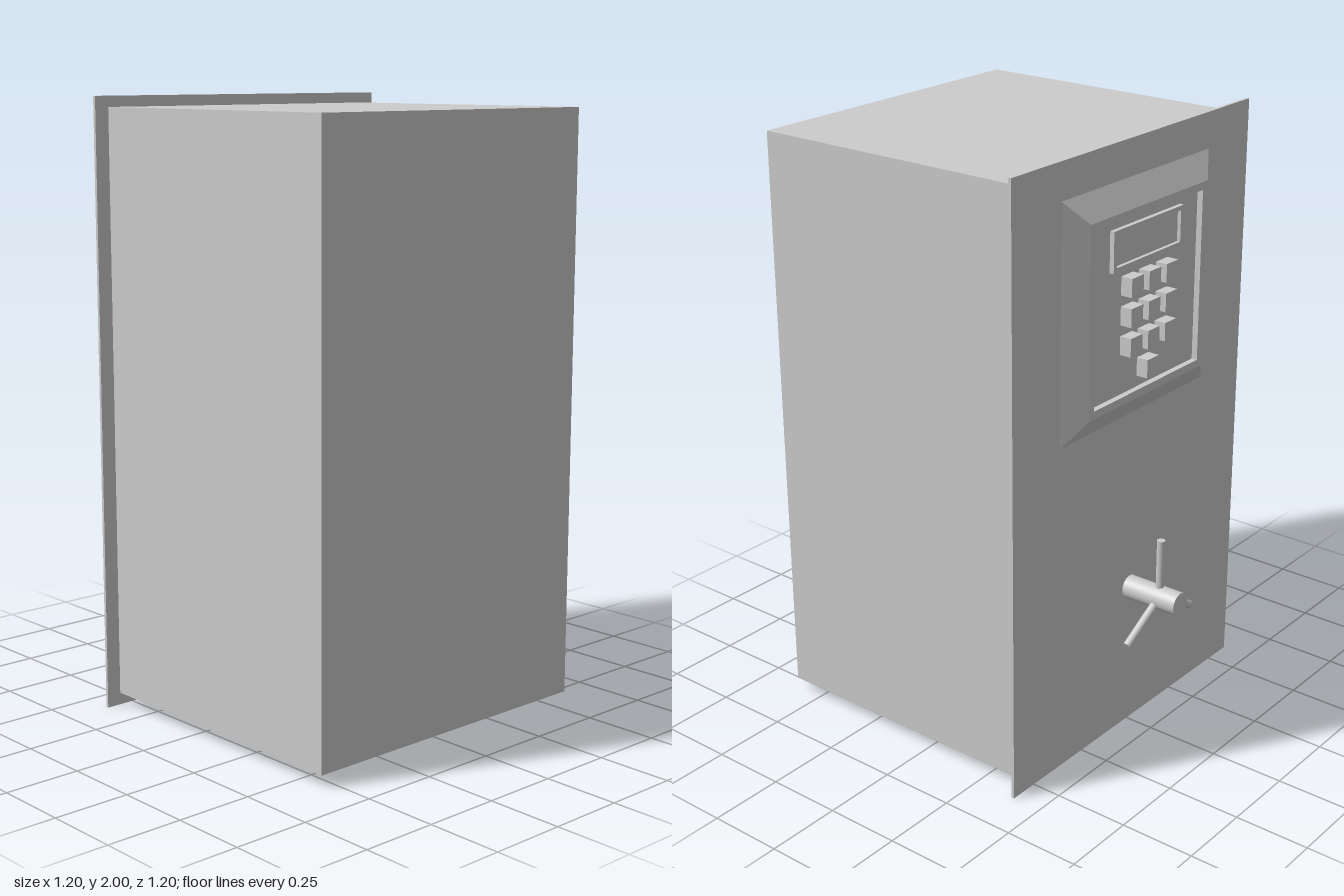
import * as THREE from 'three';

const material = new THREE.MeshStandardMaterial({ color: 0xcccccc });

function add(parent, name, geometry, x = 0, y = 0, z = 0) {
  const mesh = new THREE.Mesh(geometry, material);
  mesh.name = name;
  mesh.position.set(x, y, z);
  parent.add(mesh);
  return mesh;
}

// Flat-faced rectangular loft facing -z; each step is [half width, height off the door]
function squareLoft(steps, stretchX, stretchY) {
  const points = steps.map(([half, h]) => new THREE.Vector2(half * Math.SQRT2, h));
  const lathe = new THREE.LatheGeometry(points, 4, Math.PI / 4);
  lathe.rotateX(-Math.PI / 2).scale(stretchX, stretchY, 1);
  const flat = lathe.toNonIndexed();
  flat.computeVertexNormals();
  return flat;
}

export function createModel() {
  const safe = new THREE.Group();
  safe.name = 'safe';

  // Cabinet and the thin overhanging door at the back
  add(safe, 'cabinet', new THREE.BoxGeometry(1.1, 1.925, 0.99), 0, 1.0025, 0.105);
  add(safe, 'door', new THREE.BoxGeometry(1.2, 2, 0.01), 0, 1, -0.395);

  // Keypad housing: sloped sides, flat border, recessed panel
  const keypad = new THREE.Group();
  keypad.name = 'keypad';
  keypad.position.set(0, 1.5, -0.4);
  safe.add(keypad);
  add(keypad, 'housing', squareLoft(
    [[0.375, 0], [0.3, 0.05], [0.275, 0.05], [0.275, 0.03], [0, 0.03]], 1, 1.02));

  // Display: raised rim around a sunken screen
  const rim = new THREE.Shape();
  rim.moveTo(-0.18, -0.065).lineTo(0.18, -0.065).lineTo(0.18, 0.065).lineTo(-0.18, 0.065).closePath();
  const opening = new THREE.Path();
  opening.moveTo(-0.165, -0.05).lineTo(-0.165, 0.05).lineTo(0.165, 0.05).lineTo(0.165, -0.05).closePath();
  rim.holes.push(opening);
  add(keypad, 'displayRim', new THREE.ExtrudeGeometry(rim, { depth: 0.015, bevelEnabled: false }), 0, 0.19, -0.045);
  add(keypad, 'displayScreen', new THREE.BoxGeometry(0.33, 0.1, 0.005), 0, 0.19, -0.0305);

  // Three rows of three keys and a single key below
  const keyGeometry = new THREE.BoxGeometry(0.06, 0.06, 0.04);
  for (let row = 0; row < 4; row++) {
    for (const column of row < 3 ? [-1, 0, 1] : [0]) {
      add(keypad, 'key', keyGeometry, column * 0.09, 0.07 - row * 0.095, -0.05);
    }
  }

  // Handle: hub with three spokes
  const handle = new THREE.Group();
  handle.name = 'handle';
  handle.position.set(0, 0.5, -0.4);
  safe.add(handle);
  add(handle, 'hub', new THREE.CylinderGeometry(0.039, 0.039, 0.2, 32).rotateX(Math.PI / 2), 0, 0, -0.1);
  const spokeGeometry = new THREE.CylinderGeometry(0.0135, 0.0135, 0.204, 20).translate(0, 0.102, 0);
  for (let i = 0; i < 3; i++) {
    add(handle, 'spoke', spokeGeometry, 0, 0, -0.12).rotation.z = (i * Math.PI * 2) / 3;
  }

  return safe;
}
